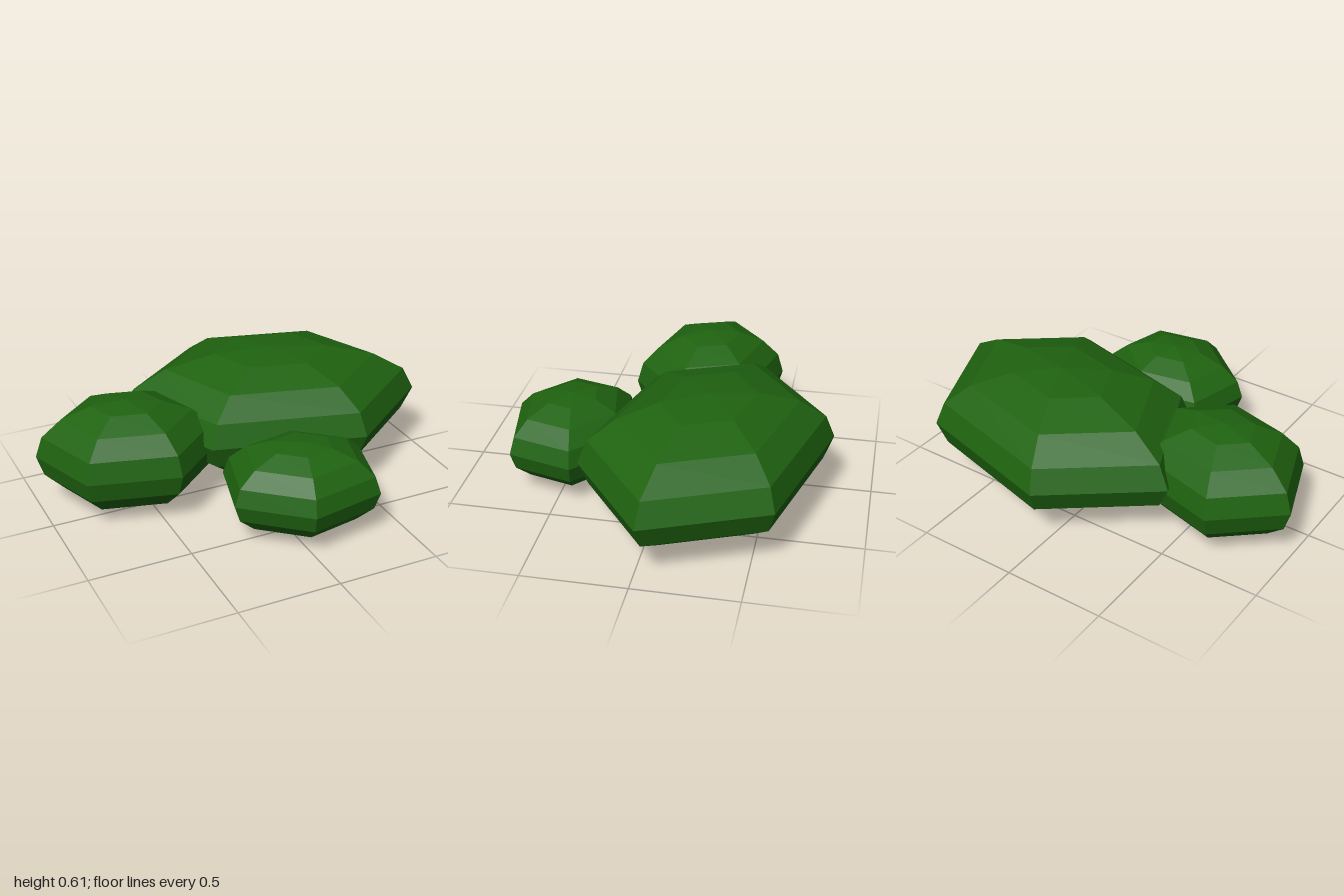
import * as THREE from 'three';

// Low-poly bush: three squashed six-sided spheres that overlap
export function createModel() {
  const group = new THREE.Group();
  group.name = 'bush';
  const leaves = new THREE.MeshStandardMaterial({ color: 0x1f6310, flatShading: true });
  const ball = new THREE.SphereGeometry(1, 6, 8);
  const turn = Math.PI / 12;

  const clumps = [
    { name: 'largeClump', position: [0.26, 0.31, -0.225], radii: [0.765, 0.3, 0.571], angle: -turn },
    { name: 'sideClump', position: [-0.57, 0.272, -0.1], radii: [0.445, 0.267, 0.374], angle: -turn },
    { name: 'frontClump', position: [0.069, 0.229, 0.482], radii: [0.329, 0.22, 0.396], angle: 5 * turn },
  ];

  for (const { name, position, radii, angle } of clumps) {
    const mesh = new THREE.Mesh(ball, leaves);
    mesh.name = name;
    mesh.position.set(...position);
    mesh.scale.set(...radii);
    mesh.rotation.y = angle;
    group.add(mesh);
  }
  return group;
}
